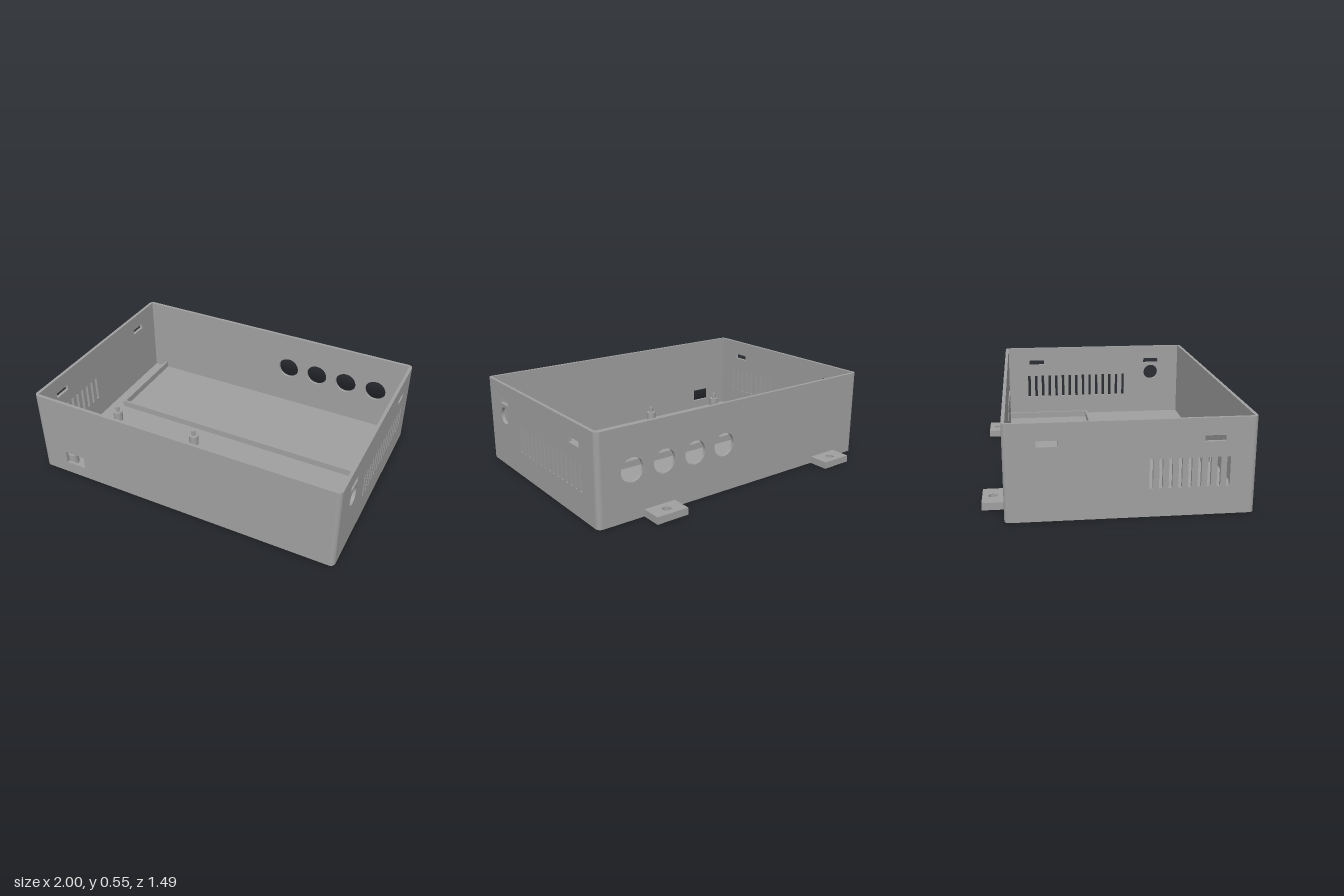
import * as THREE from 'three';

const T = 0.02, R = 0.03, H = 0.552;           // wall thickness, corner radius, height
const X = 1, ZF = 0.747, ZB = -0.62;           // outer half width, front and back

const grey = new THREE.MeshStandardMaterial({ color: 0xa0a0a0 });
grey.name = 'grey plastic';

function rectPath(path, u0, v0, u1, v1) {
  path.moveTo(u0, v0);
  path.lineTo(u1, v0);
  path.lineTo(u1, v1);
  path.lineTo(u0, v1);
  path.closePath();
  return path;
}
const rect = (u0, v0, u1, v1) => rectPath(new THREE.Path(), u0, v0, u1, v1);
const circle = (u, v, r) => new THREE.Path().absarc(u, v, r, 0, Math.PI * 2, true);

// Flat plate with cut-outs, extruded along +z
function plate(u0, v0, u1, v1, depth, holes = []) {
  const shape = rectPath(new THREE.Shape(), u0, v0, u1, v1);
  shape.holes.push(...holes);
  return new THREE.ExtrudeGeometry(shape, { depth, bevelEnabled: false, curveSegments: 24 });
}

// Row of upright ventilation slots
function slots(firstZ, count) {
  const out = [];
  for (let i = 0; i < count; i++) {
    const z = firstZ - i * 0.0527;
    out.push(rect(z - 0.01, 0.164, z + 0.01, 0.332));
  }
  return out;
}

export function createModel() {
  const model = new THREE.Group();
  model.name = 'enclosure';
  const add = (name, geometry, x = 0, y = 0, z = 0) => {
    const mesh = new THREE.Mesh(geometry, grey);
    mesh.name = name;
    mesh.position.set(x, y, z);
    model.add(mesh);
    return mesh;
  };
  const box = (name, x0, x1, y0, y1, z0, z1) =>
    add(name, new THREE.BoxGeometry(x1 - x0, y1 - y0, z1 - z0),
      (x0 + x1) / 2, (y0 + y1) / 2, (z0 + z1) / 2);

  // Floor
  box('floor', -X + T, X - T, 0, T, ZB + T, ZF - T);

  // Front wall with a connector opening
  add('frontWall', plate(-X + R, 0, X - R, H, T, [rect(-0.823, 0.078, -0.684, 0.163)]), 0, 0, ZF - T);

  // Back wall with four round cable holes
  const ports = [0.139, 0.352, 0.566, 0.779].map(x => circle(x, 0.297, 0.072));
  add('backWall', plate(-X + R, 0, X - R, H, T, ports), 0, 0, ZB);

  // Side walls with latch openings and vents
  const latches = () => [rect(0.456, 0.42, 0.57, 0.454), rect(-0.442, 0.42, -0.33, 0.454)];
  const side = (name, x, holes) => {
    const g = plate(ZB + R, 0, ZF - R, H, T, holes);
    g.rotateY(-Math.PI / 2);
    add(name, g, x);
  };
  side('leftWall', X, [...latches(), ...slots(0.292, 15), circle(0.515, 0.343, 0.055)]);
  side('rightWall', -X + T, [...latches(), ...slots(0.591, 9)]);

  // Corner posts: rounded outside, square inside
  const post = new THREE.Shape();
  post.moveTo(R, 0);
  post.lineTo(R, T);
  post.lineTo(T, T);
  post.lineTo(T, R);
  post.lineTo(0, R);
  post.absarc(R, R, R, Math.PI, Math.PI * 1.5, false);
  const postGeo = new THREE.ExtrudeGeometry(post, { depth: H, bevelEnabled: false, curveSegments: 8 });
  postGeo.rotateX(Math.PI / 2).translate(0, H, 0);
  [[-X, ZB, 0], [-X, ZF, 1], [X, ZF, 2], [X, ZB, 3]].forEach(([x, z, turn]) => {
    add('cornerPost', postGeo, x, 0, z).rotation.y = turn * Math.PI / 2;
  });

  // Low U-shaped retaining rib on the floor
  const ribTop = 0.064;
  for (const s of [-1, 1]) {
    const a = s * 0.876, b = s * 0.892;
    box('sideRib', Math.min(a, b), Math.max(a, b), T, ribTop, ZB + T, 0);
  }
  box('frontRib', -0.876, 0.876, T, ribTop, -0.016, 0);

  // Board standoffs with locating pins
  const bossGeo = new THREE.CylinderGeometry(0.032, 0.032, 0.07, 32);
  const pinGeo = new THREE.CylinderGeometry(0.013, 0.013, 0.04, 24);
  for (const x of [-0.837, -0.225]) {
    for (const z of [0.15, 0.666]) {
      add('standoff', bossGeo, x, T + 0.035, z);
      add('standoffPin', pinGeo, x, T + 0.09, z);
    }
  }

  // Mounting tabs with screw holes at the back
  const tabGeo = plate(-0.104, -0.747, 0.104, ZB, 0.044, [circle(0, -0.687, 0.026)]);
  tabGeo.rotateX(Math.PI / 2).translate(0, 0.044, 0);
  for (const x of [-0.714, 0.602]) add('mountingTab', tabGeo, x);

  return model;
}
